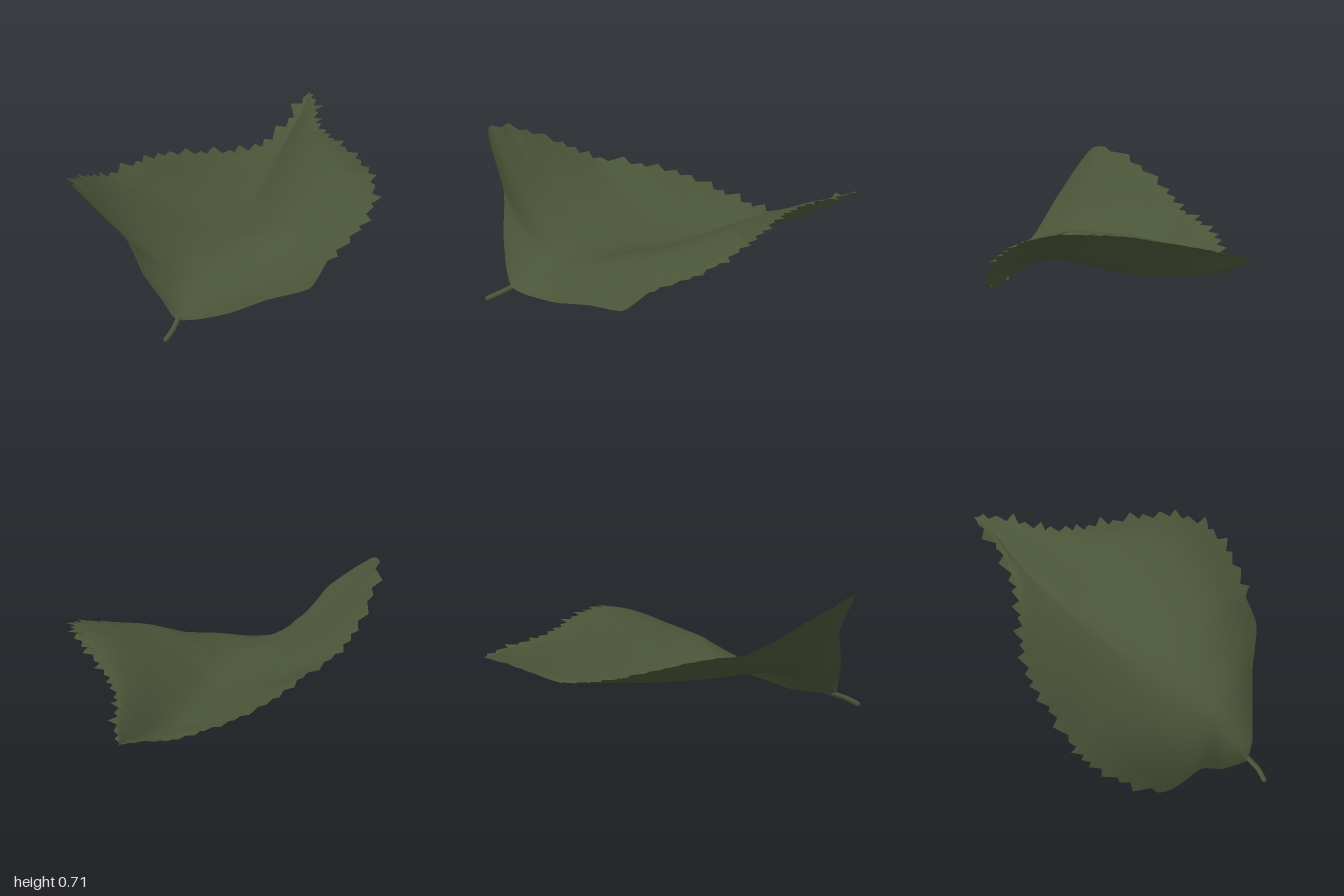
import * as THREE from 'three';

// Stations from the base to the tip: left edge, midrib and right edge points.
const LEFT = [
  [-0.16, 0.09, 0.87], [-0.21, 0.17, 0.865], [-0.32, 0.29, 0.825], [-0.43, 0.47, 0.77], [-0.69, 0.7, 0.735],
  [-0.74, 0.62, 0.5], [-0.71, 0.5, 0.28], [-0.65, 0.425, 0.14], [-0.54, 0.39, -0.07], [-0.44, 0.34, -0.25],
  [-0.29, 0.28, -0.4], [-0.14, 0.24, -0.51], [0, 0.225, -0.63], [0.11, 0.29, -0.8], [0.16, 0.36, -0.99],
];
const RIB = [
  [-0.13, 0.075, 0.87], [-0.11, 0.11, 0.8], [-0.09, 0.15, 0.7], [-0.07, 0.185, 0.6], [-0.05, 0.205, 0.45],
  [-0.03, 0.2, 0.28], [0, 0.188, 0.1], [0.01, 0.185, 0], [0.03, 0.185, -0.15], [0.05, 0.195, -0.3],
  [0.065, 0.205, -0.45], [0.09, 0.23, -0.6], [0.12, 0.265, -0.73], [0.15, 0.31, -0.85], [0.16, 0.36, -0.99],
];
const RIGHT = [
  [-0.1, 0.06, 0.86], [-0.02, 0.06, 0.83], [0.12, 0.06, 0.74], [0.3, 0.1, 0.63], [0.5, 0.135, 0.53],
  [0.58, 0.26, 0.4], [0.69, 0.35, 0.23], [0.73, 0.42, 0.08], [0.68, 0.465, -0.08], [0.57, 0.465, -0.23],
  [0.45, 0.455, -0.37], [0.35, 0.43, -0.48], [0.27, 0.41, -0.63], [0.23, 0.39, -0.8], [0.16, 0.36, -0.99],
];
const STATIONS = LEFT.length - 1;
const TEETH_START = 4 / STATIONS; // the edge is smooth from the base to the widest corner
const TOOTH_ROWS = 72;
const HALF = 10; // columns on each side of the rib

const curveThrough = (pts) =>
  new THREE.CatmullRomCurve3(pts.map((p) => new THREE.Vector3(...p)), false, 'catmullrom', 0.3);

// Tooth height: a slow rise over three rows, then a sharp drop towards the tip.
function tooth(k, side) {
  if (k < (side < 0 ? 0 : 7) || k >= TOOTH_ROWS - 1) return 0;
  const size = 0.035 + 0.015 * Math.sin(Math.floor(k / 3) * 2.7 + side * 1.3);
  return ((k % 3) / 2) * size;
}

// Blade: rows run across the leaf, from the left edge over the rib to the right edge.
function makeBlade() {
  const left = curveThrough(LEFT), rib = curveThrough(RIB), right = curveThrough(RIGHT);
  const rows = [];
  for (let i = 0; i < 24; i++) rows.push({ t: (TEETH_START * i) / 24, k: -1 });
  for (let k = 0; k <= TOOTH_ROWS; k++) {
    rows.push({ t: TEETH_START + ((1 - TEETH_START) * k) / TOOTH_ROWS, k });
  }

  const pos = [], index = [], cols = 2 * HALF + 1;
  rows.forEach(({ t, k }, i) => {
    const m = rib.getPoint(t);
    // the left half curls up, most strongly near the base
    const curl = THREE.MathUtils.clamp(2.1 - (t - TEETH_START) * 2.4, 1.6, 2.1);
    // the right half swells upwards between rib and edge
    const swell = 0.1 * Math.sin(Math.PI * t) ** 2;
    for (let j = 0; j < cols; j++) {
      const side = j < HALF ? -1 : 1;
      const edge = side < 0 ? left : right;
      const e = edge.getPoint(t);
      const s = Math.abs(j - HALF) / HALF;
      const p = m.clone().lerp(e, s);
      if (side < 0) p.y = m.y + (e.y - m.y) * s ** curl;
      else p.y += swell * 4.83 * s ** 1.3 * (1 - s);
      if (s === 1) {
        // teeth point out of the edge
        const d = edge.getTangent(t);
        const out = new THREE.Vector3(-d.z * side, 0, d.x * side).normalize();
        out.y = side < 0 ? 0.3 : 0.1;
        p.addScaledVector(out, tooth(k, side));
      }
      pos.push(p.x, p.y, p.z);
      if (i < rows.length - 1 && j < cols - 1) {
        const a = i * cols + j, b = a + 1, c = a + cols, f = c + 1;
        index.push(a, b, c, b, f, c);
      }
    }
  });
  const geo = new THREE.BufferGeometry();
  geo.setAttribute('position', new THREE.Float32BufferAttribute(pos, 3));
  geo.setIndex(index);
  geo.computeVertexNormals();
  return geo;
}

export function createModel() {
  const group = new THREE.Group();
  group.name = 'leaf';
  const material = new THREE.MeshStandardMaterial({ color: 0x4a5438, side: THREE.DoubleSide });

  const blade = new THREE.Mesh(makeBlade(), material);
  blade.name = 'blade';
  group.add(blade);

  // Stalk
  const path = curveThrough([[-0.165, 0.012, 0.99], [-0.14, 0.04, 0.94], [-0.125, 0.07, 0.865]]);
  const stalk = new THREE.Mesh(new THREE.TubeGeometry(path, 10, 0.014, 8), material);
  stalk.name = 'stalk';
  group.add(stalk);

  // Closed end of the stalk
  const end = new THREE.Mesh(new THREE.SphereGeometry(0.0135, 8, 6), material);
  end.name = 'stalkEnd';
  end.position.copy(path.getPoint(0));
  group.add(end);

  return group;
}
